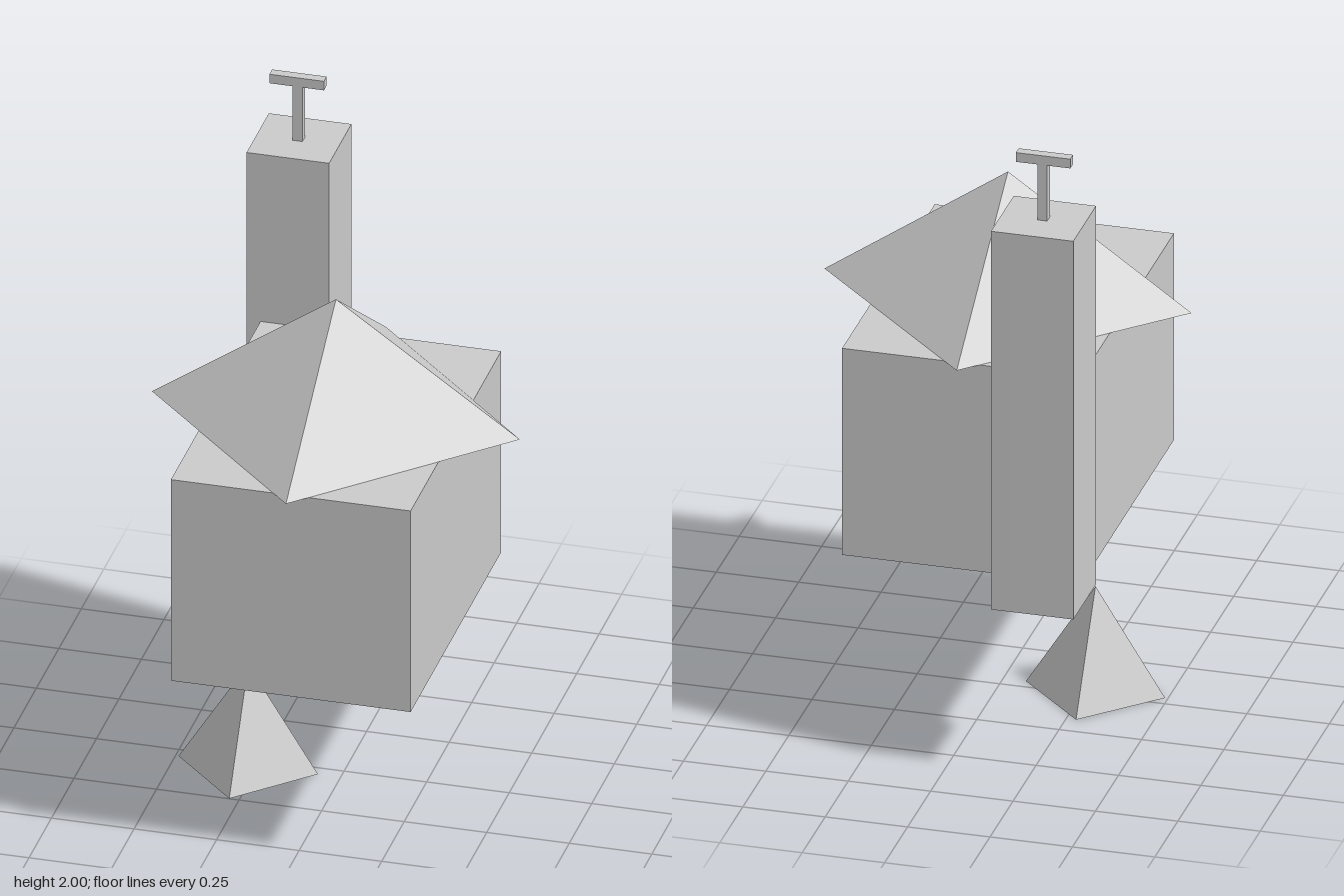
import * as THREE from 'three';

const material = new THREE.MeshStandardMaterial({
  color: 0xcccccc, flatShading: true, side: THREE.DoubleSide,
});

export function createModel() {
  const group = new THREE.Group();

  const add = (name, geometry, x, y, z) => {
    const mesh = new THREE.Mesh(geometry, material);
    mesh.name = name;
    mesh.position.set(x, y, z);
    group.add(mesh);
  };

  // Box given by its [min, max] extent on each axis
  const box = (name, [x0, x1], [y0, y1], [z0, z1]) => add(
    name, new THREE.BoxGeometry(x1 - x0, y1 - y0, z1 - z0),
    (x0 + x1) / 2, (y0 + y1) / 2, (z0 + z1) / 2);

  // Four-sided pyramid, open underneath, corners on the x and z axes
  const pyramid = (name, radius, y0, y1, x, z) => add(
    name, new THREE.ConeGeometry(radius, y1 - y0, 4, 1, true),
    x, (y0 + y1) / 2, z);

  // House body and roof
  box('houseBody', [-0.363, 0.363], [0.563, 1.233], [-0.413, 0.593]);
  pyramid('roof', 0.557, 1.233, 1.62, 0, 0.09);

  // Tower at the back corner, with its T-shaped finial
  box('tower', [-0.405, -0.155], [0.563, 1.79], [-0.65, -0.403]);
  box('finialPost', [-0.295, -0.265], [1.79, 1.97], [-0.54, -0.51]);
  box('finialBar', [-0.365, -0.2], [1.97, 2], [-0.54, -0.51]);

  // Small pyramid below the house
  pyramid('groundPyramid', 0.211, 0, 0.335, -0.28, 0.038);

  return group;
}
